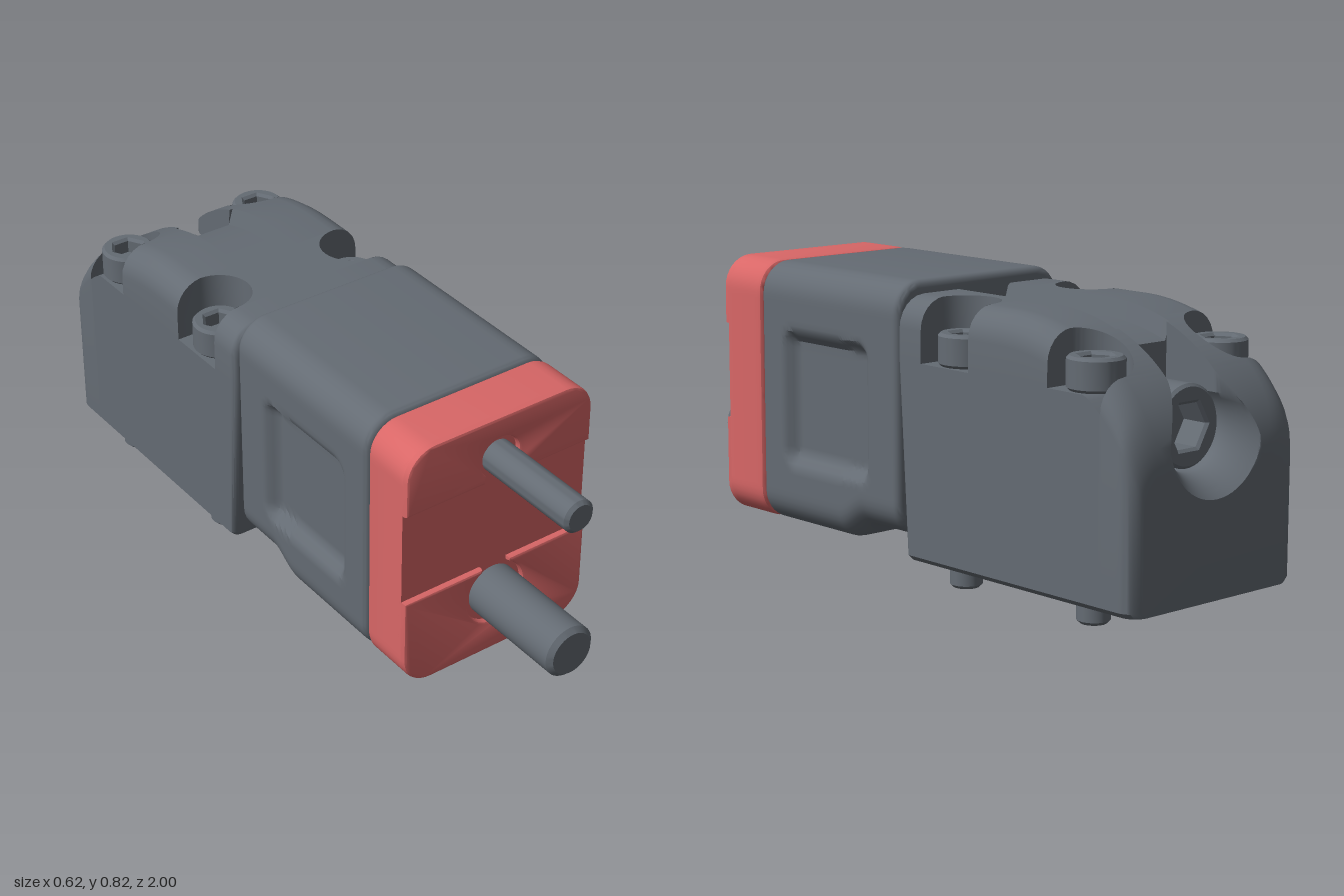
import * as THREE from 'three';
import { toCreasedNormals } from 'three/addons/utils/BufferGeometryUtils.js';

const clamp = THREE.MathUtils.clamp, smooth = THREE.MathUtils.smoothstep;

// Skin over mirrored cross-sections; rows run front to back, each { z, half: [[x, y], ...] }
function loft(rows, warp = (x, y, z) => z) {
  const loops = rows.map(({ half }) =>
    [...half, ...half.filter(p => p[0] > 0).reverse().map(([x, y]) => [-x, y])]);
  const n = loops[0].length, pos = [], idx = [];
  loops.forEach((l, i) => l.forEach(([x, y]) => pos.push(x, y, warp(x, y, rows[i].z))));
  for (let i = 0; i < loops.length - 1; i++) {
    for (let j = 0; j < n; j++) {
      const a = i * n + j, b = i * n + (j + 1) % n;
      idx.push(a, a + n, b, b, a + n, b + n);
    }
  }
  const cap = (i, flip) => {
    const pts = loops[i].map(p => new THREE.Vector2(...p));
    for (const [a, b, c] of THREE.ShapeUtils.triangulateShape(pts, [])) {
      const o = i * n;
      if (flip) idx.push(o + a, o + c, o + b); else idx.push(o + a, o + b, o + c);
    }
  };
  cap(0, false);
  cap(loops.length - 1, true);
  const g = new THREE.BufferGeometry();
  g.setAttribute('position', new THREE.Float32BufferAttribute(pos, 3));
  g.setIndex(idx);
  return toCreasedNormals(g, 0.6);
}

// Right half of a rounded rectangle; dent(y) pushes the side inward
function roundedHalf(hw, y0, y1, r, dent = () => 0) {
  const half = [];
  for (let i = 0; i <= 8; i++) {
    const a = -Math.PI / 2 + i * Math.PI / 16;
    half.push([hw - r + r * Math.cos(a), y0 + r + r * Math.sin(a)]);
  }
  for (let i = 1; i < 36; i++) {
    const y = y0 + r + (y1 - y0 - 2 * r) * i / 36;
    half.push([hw - dent(y), y]);
  }
  for (let i = 0; i <= 8; i++) {
    const a = i * Math.PI / 16;
    half.push([hw - r + r * Math.cos(a), y1 - r + r * Math.sin(a)]);
  }
  return half;
}

// Middle block with a stepped underside and a soft pocket in each side
function middleGeometry() {
  const rows = [], z0 = -0.1, z1 = 0.505, e = 0.02;
  const zs = [0.505, 0.503, 0.498, 0.491];
  for (let z = 0.485; z > -0.079; z -= 0.0113) zs.push(z);
  zs.push(-0.08, -0.086, -0.093, -0.098, -0.1);
  for (const z of zs) {
    const d = Math.max(0, e - Math.min(z - z0, z1 - z));
    const inset = e - Math.sqrt(Math.max(0, e * e - d * d));
    const dent = y => {
      const r = 0.05;
      const qx = Math.abs(z - 0.215) - 0.195 + r, qy = Math.abs(y - 0.435) - 0.205 + r;
      const sd = Math.hypot(Math.max(qx, 0), Math.max(qy, 0)) + Math.min(Math.max(qx, qy), 0) - r;
      return 0.035 * smooth(-sd, 0, 0.045);
    };
    const bottom = 0.057 + 0.05 * (1 - smooth(z, 0.05, 0.16));
    rows.push({ z, half: roundedHalf(0.305 - inset, bottom + inset, 0.818 - inset, 0.09 - inset, dent) });
  }
  return loft(rows);
}

// Rear block: curved back, central groove, screw slot and four open counterbores
const SCREW_X = 0.23, SCREW_Z = [-0.3, -0.79], BORE = 0.095, BOLT_Y = 0.5;

function rearHalf(z, inNotch, inSlot) {
  const e = 0.045, dRear = Math.max(0, e - (z + 1)), f = 0.02, dFront = Math.max(0, f - (-0.105 - z));
  const endInset = f - Math.sqrt(Math.max(0, f * f - dFront * dFront));
  const hw = 0.31 - endInset - (e - Math.sqrt(Math.max(0, e * e - dRear * dRear)));
  const u = Math.max(0, -0.5 - z) / 0.5;
  const top = 0.42 + 0.365 * Math.sqrt(Math.max(0, 1 - u * u)) - endInset;
  const R = 0.085, shelf = Math.min(0.61, top - R);
  const half = [[hw - 0.015, 0.057], [hw, 0.072], [hw, shelf]];
  if (inNotch) {
    const dz = Math.min(...SCREW_Z.map(s => Math.abs(z - s)));
    const xin = SCREW_X - Math.sqrt(Math.max(0, BORE * BORE - dz * dz));
    for (let i = 0; i < 8; i++) half.push([xin, i ? top : shelf]);
  } else {
    half.push([hw, shelf]);
    for (let i = 0; i <= 6; i++) {
      const a = i * Math.PI / 12;
      half.push([hw - R + R * Math.cos(a), top - R + R * Math.sin(a)]);
    }
  }
  const N = 14;
  if (inSlot) {
    // Bolt bore, flared towards the back
    const flare = clamp((-0.9 - z) / 0.1, 0, 1) ** 1.6;
    const r = 0.12 + 0.055 * flare, w = 0.09 + 0.085 * flare;
    const a0 = Math.acos(Math.min(1, w / r));
    half.push([w, top]);
    for (let i = 0; i <= N; i++) {
      const a = a0 - (a0 + Math.PI / 2) * i / N;
      half.push([i === N ? 0 : r * Math.cos(a), Math.min(top, BOLT_Y + r * Math.sin(a))]);
    }
  } else {
    half.push([0.1, top]);
    for (let i = 0; i <= N; i++) half.push([0.085 * (1 - i / N), top - 0.05]);
  }
  return half;
}

function rearGeometry() {
  const breaks = [-0.105, -0.205, -0.395, -0.695, -0.73, -0.885, -1], rows = [];
  for (let s = 0; s < breaks.length - 1; s++) {
    const a = breaks[s], b = breaks[s + 1], mid = (a + b) / 2;
    const inNotch = SCREW_Z.some(z => Math.abs(mid - z) < BORE);
    for (let i = 0; i <= 18; i++) {
      const z = a + (b - a) * (1 - Math.cos(Math.PI * i / 18)) / 2;
      rows.push({ z, half: rearHalf(z, inNotch, mid < -0.73) });
    }
  }
  // Lean the lower front face backwards
  return loft(rows, (x, y, z) =>
    z - 0.04 * Math.max(0, (0.45 - y) / 0.39) ** 2 * clamp((z + 0.2) / 0.095, 0, 1));
}

// Raised face pad of the front plate, with a round relief opening into the middle band
function padGeometry(yEdge, yEnd, yHole, rHole) {
  const s = Math.sign(yEnd - yEdge), hw = 0.305, r = 0.09, slot = 0.045;
  const a = Math.asin(slot / rHole), pts = [[slot, yEdge], [hw, yEdge]];
  for (let i = 0; i <= 8; i++) {
    const t = i * Math.PI / 16;
    pts.push([hw - r + r * Math.cos(t), yEnd - s * r + s * r * Math.sin(t)]);
  }
  const left = pts.slice().reverse().map(([x, y]) => [-x, y]);
  const hole = [];
  for (let i = 0; i <= 28; i++) {
    const t = -a - (2 * Math.PI - 2 * a) * i / 28;
    hole.push([rHole * Math.sin(t), yHole - s * rHole * Math.cos(t)]);
  }
  const shape = new THREE.Shape([...pts, ...left, ...hole].map(p => new THREE.Vector2(...p)));
  const g = new THREE.ExtrudeGeometry(shape, {
    depth: 0.02, bevelEnabled: true, bevelThickness: 0.008, bevelSize: 0.008, bevelOffset: -0.008, bevelSegments: 2
  });
  return toCreasedNormals(g.translate(0, 0, 0.652), 0.5);
}

// Round pin along +y with a chamfered tip
function pinGeometry(r, len, c) {
  const p = [[0, 0], [r, 0], [r, len - c], [r - c, len], [0, len]].map(q => new THREE.Vector2(...q));
  return toCreasedNormals(new THREE.LatheGeometry(p, 40), 0.5);
}

// Socket head along +z with a hexagonal recess
function headGeometry(r, h, hex) {
  const shape = new THREE.Shape().absarc(0, 0, r, 0, Math.PI * 2);
  const hole = Array.from({ length: 6 }, (_, i) =>
    new THREE.Vector2(hex * Math.cos(i * Math.PI / 3), -hex * Math.sin(i * Math.PI / 3)));
  shape.holes.push(new THREE.Path(hole));
  const g = new THREE.ExtrudeGeometry(shape, {
    depth: h - 0.016, curveSegments: 24, bevelThickness: 0.008, bevelSize: 0.008, bevelOffset: -0.008, bevelSegments: 1
  });
  return toCreasedNormals(g.translate(0, 0, 0.008), 0.5);
}

export function createModel() {
  const model = new THREE.Group();
  const steel = new THREE.MeshStandardMaterial({ name: 'dark steel', color: 0x646b73 });
  const red = new THREE.MeshStandardMaterial({ name: 'red', color: 0xd96767 });
  const add = (name, geo, mat, x = 0, y = 0, z = 0, parent = model) => {
    const m = new THREE.Mesh(geo, mat);
    m.name = name;
    m.position.set(x, y, z);
    parent.add(m);
    return m;
  };

  add('middleBlock', middleGeometry(), steel);
  add('rearBlock', rearGeometry(), steel);

  // Front plate: base and two raised pads
  const plateRows = [[0.662, 0], [0.525, 0], [0.515, 0.004], [0.51, 0.012]].map(([z, d]) =>
    ({ z, half: roundedHalf(0.305 - d, 0.055 + d, 0.818 - d, 0.09 - d) }));
  add('frontPlate', loft(plateRows), red);
  add('upperPad', padGeometry(0.622, 0.818, 0.69, 0.063), red);
  add('lowerPad', padGeometry(0.34, 0.055, 0.245, 0.095), red);

  // Guide pins
  add('upperPin', pinGeometry(0.048, 0.4, 0.01), steel, 0, 0.688, 0.6).rotation.x = Math.PI / 2;
  add('lowerPin', pinGeometry(0.077, 0.4, 0.014), steel, 0, 0.247, 0.6).rotation.x = Math.PI / 2;

  // Socket screws
  const addScrew = (name, r, h, hex) => {
    const g = new THREE.Group();
    g.name = name;
    add('head', headGeometry(r, h, hex), steel, 0, 0, 0, g);
    add('socketFloor', new THREE.CircleGeometry(hex * 1.1, 24), steel, 0, 0, h * 0.5, g);
    model.add(g);
    return g;
  };
  const bolt = addScrew('clampBolt', 0.112, 0.165, 0.068);
  bolt.position.set(0, BOLT_Y, -0.735);
  bolt.rotation.y = Math.PI;
  for (const x of [-SCREW_X, SCREW_X]) {
    for (const z of SCREW_Z) {
      const screw = addScrew('mountingScrew', 0.077, 0.09, 0.045);
      screw.position.set(x, 0.61, z);
      screw.rotation.x = -Math.PI / 2;
      add('foot', pinGeometry(0.045, 0.08, 0.009), steel, x, 0.08, z).rotation.x = Math.PI;
    }
  }
  return model;
}
